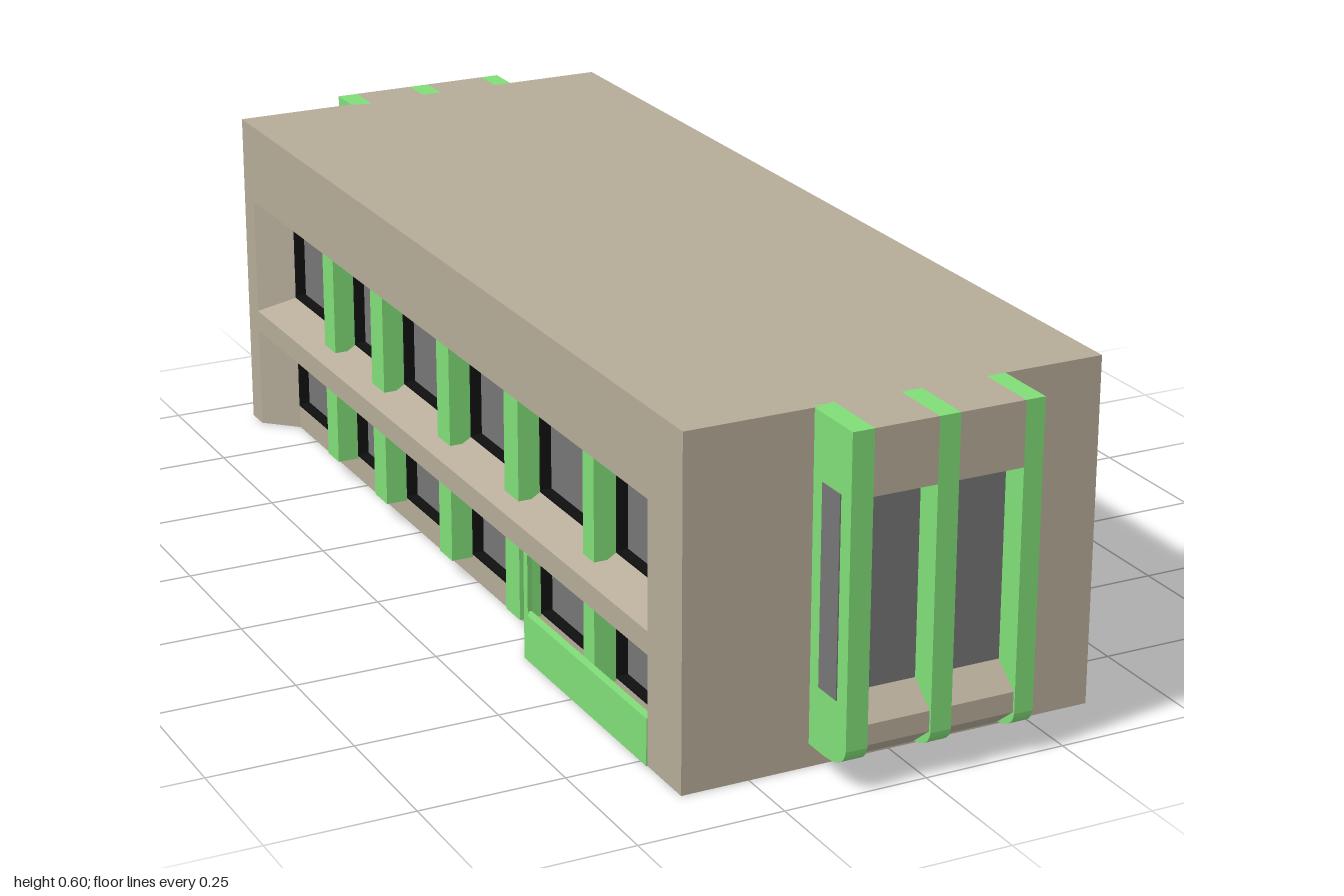
import * as THREE from 'three';

const mat = (color) => new THREE.MeshStandardMaterial({ color, side: THREE.DoubleSide });
const HALF = 0.368, CORE = 0.29, WALL = 0.31, HEIGHT = 0.6, FRONT = 0.885, BACK = -0.937;

export function createModel() {
  const model = new THREE.Group();
  const tan = mat(0xb5ab98), green = mat(0x80dd78), glass = mat(0x757575), black = mat(0x101010);

  const add = (parent, name, geometry, material) => {
    const mesh = new THREE.Mesh(geometry, material);
    mesh.name = name;
    parent.add(mesh);
    return mesh;
  };
  const group = (name) => {
    const g = new THREE.Group();
    g.name = name;
    model.add(g);
    return g;
  };
  // box given by its limits on each axis, in either order
  const box = (parent, name, material, xa, xb, ya, yb, za, zb) => {
    const g = new THREE.BoxGeometry(Math.abs(xb - xa), Math.abs(yb - ya), Math.abs(zb - za));
    g.translate((xa + xb) / 2, (ya + yb) / 2, (za + zb) / 2);
    return add(parent, name, g, material);
  };
  const shapeOf = (pts) => new THREE.Shape(pts.map((p) => new THREE.Vector2(p[0], p[1])));
  const rect = (z0, z1, y0, y1) => [[z0, y0], [z1, y0], [z1, y1], [z0, y1]];
  const extrude = (shape, depth) =>
    new THREE.ExtrudeGeometry(shape, { depth, bevelEnabled: false, curveSegments: 8 });
  // (z, y) profile swept along x
  const alongX = (shape, xa, xb) =>
    extrude(shape, Math.abs(xb - xa)).rotateY(-Math.PI / 2).translate(Math.max(xa, xb), 0, 0);
  // (x, z) outline swept along y
  const alongY = (pts, y0, y1) =>
    extrude(shapeOf(pts.map(([x, z]) => [x, -z])), y1 - y0).rotateX(-Math.PI / 2).translate(0, y0, 0);

  // main block
  box(model, 'core', tan, -CORE, CORE, 0, HEIGHT, BACK, FRONT);

  const pillars = [[-0.59, -0.54], [-0.365, -0.31], [-0.072, -0.02], [0.205, 0.26], [0.505, 0.545]];

  // long side: skin with two recessed window bands
  function longSide(s, z0, z1, hasDoor) {
    const side = group(s > 0 ? 'leftSide' : 'rightSide');
    const in0 = z0 + 0.055, in1 = z1 - 0.055;
    const skin = shapeOf([[BACK, 0], [z0, 0], [z0, 0.19], [z1, 0.19], [z1, 0],
      [FRONT, 0], [FRONT, HEIGHT], [BACK, HEIGHT]]);
    skin.holes.push(new THREE.Path(rect(z0, z1, 0.23, 0.45).map((p) => new THREE.Vector2(...p))));
    add(side, 'outerWall', alongX(skin, s * CORE, s * HALF), tan);

    // splayed recess ends
    for (const [outer, inner] of [[z0, in0], [z1, in1]])
      for (const [y0, y1] of [[0, 0.19], [0.23, 0.45]])
        add(side, 'splayedEnd', alongY([[s * CORE, outer], [s * HALF, outer],
          [s * WALL, inner], [s * CORE, inner]], y0, y1), tan);

    // sloping sill under the upper band
    const sill = extrude(shapeOf([[s * CORE, 0.23], [s * HALF, 0.23], [s * WALL, 0.265],
      [s * CORE, 0.265]]), z1 - z0).translate(0, 0, z0);
    add(side, 'slopingSill', sill, tan);

    // window openings between the pillars
    const openings = [];
    for (const [y0, y1] of [[0.265, 0.41], [0.045, 0.15]]) {
      let start = in0;
      for (const [a, b] of [...pillars, [in1, in1]]) {
        if (hasDoor && y0 < 0.1 && start === in0) {
          openings.push([in0, in0 + 0.113, 0.002, y1]);
          openings.push([in0 + 0.118, a, y0, y1]);
        } else openings.push([start, a, y0, y1]);
        start = b;
      }
    }
    const inner = shapeOf(rect(in0, in1, 0, 0.46));
    for (const o of openings) {
      inner.holes.push(new THREE.Path(rect(...o).map((p) => new THREE.Vector2(...p))));
      const [a, b, y0, y1] = o, t = 0.005;
      box(side, 'windowPane', glass, s * (CORE - 0.01), s * (CORE + 0.002), y0, y1, a, b);
      for (const [za, zb, ya, yb] of [[a, a + t, y0, y1], [b - t, b, y0, y1],
        [a, b, y0, y0 + t], [a, b, y1 - t, y1]])
        box(side, 'windowFrame', black, s * CORE, s * (WALL + 0.001), ya, yb, za, zb);
    }
    add(side, 'recessedWall', alongX(inner, s * CORE, s * WALL), tan);

    // pillars in front of both bands
    for (const [a, b] of pillars) {
      box(side, 'upperPillar', green, s * CORE, s * 0.35, 0.255, 0.45, a, b);
      box(side, 'lowerPillar', green, s * CORE, s * 0.35, 0.04, 0.19, a, b);
    }
    return side;
  }
  longSide(1, -0.875, 0.83, true);
  const entrySide = longSide(-1, -0.89, 0.77, false);

  // porch with an angled screen and low parapet
  add(entrySide, 'porchFloor', alongY([[-CORE, 0.19], [-HALF, 0.33], [-HALF, 0.77], [-CORE, 0.77]],
    0, 0.02), tan);
  add(entrySide, 'angledScreen', alongY([[-CORE, 0.18], [-HALF - 0.002, 0.32], [-HALF - 0.002, 0.335],
    [-CORE, 0.195]], 0, 0.19), green);
  box(entrySide, 'porchParapet', green, -HALF - 0.002, -HALF + 0.012, 0, 0.082, 0.32, 0.77);

  // projecting end bay: green ribs, header, panes and sloped spandrels
  function endBay(name, s, base, depth, panes, sideWindows) {
    const bay = group(name);
    const z = (d) => base + s * d;
    const ribs = [[-0.145, -0.107], [0.005, 0.042], [0.157, 0.191]];
    const rib = new THREE.Shape();
    rib.moveTo(z(-0.01), 0.04);
    rib.lineTo(z(depth * 0.4), 0.04);
    rib.quadraticCurveTo(z(depth * 0.95), 0.042, z(depth), 0.075);
    rib.lineTo(z(depth), HEIGHT);
    rib.lineTo(z(-0.01), HEIGHT);
    rib.closePath();
    for (const [a, b] of ribs) add(bay, 'rib', alongX(rib, a, b), green);

    const back = depth - 0.05, face = depth - 0.004;
    for (let i = 0; i < 2; i++) {
      const a = ribs[i][1], b = ribs[i + 1][0];
      box(bay, 'header', tan, a, b, 0.49, HEIGHT, base, z(depth));
      let top = 0.49;
      panes.forEach(([y0, y1], k) => {
        box(bay, 'bayPane', glass, a, b, y0, top, base, z(back));
        const last = k === panes.length - 1;
        const low = last ? 0.04 : panes[k + 1][1];
        const nose = last ? low + 0.037 : low;
        add(bay, 'spandrel', alongX(shapeOf([[z(0), low], [z(back), low], [z(face), nose],
          [z(face), y0 - 0.038], [z(back), y0], [z(0), y0]]), a, b), tan);
        top = low;
      });
    }
    // narrow windows on the cheeks
    if (sideWindows)
      for (const [xa, xb] of [[-0.147, -0.14], [0.186, 0.193]])
        box(bay, 'cheekWindow', glass, xa, xb, 0.15, 0.49, 0.915, 0.97);
  }
  endBay('frontBay', 1, FRONT, 1 - FRONT, [[0.15, 0.49]], true);
  endBay('backBay', -1, BACK, 1 + BACK, [[0.29, 0.49], [0.11, 0.2]], false);

  return model;
}
